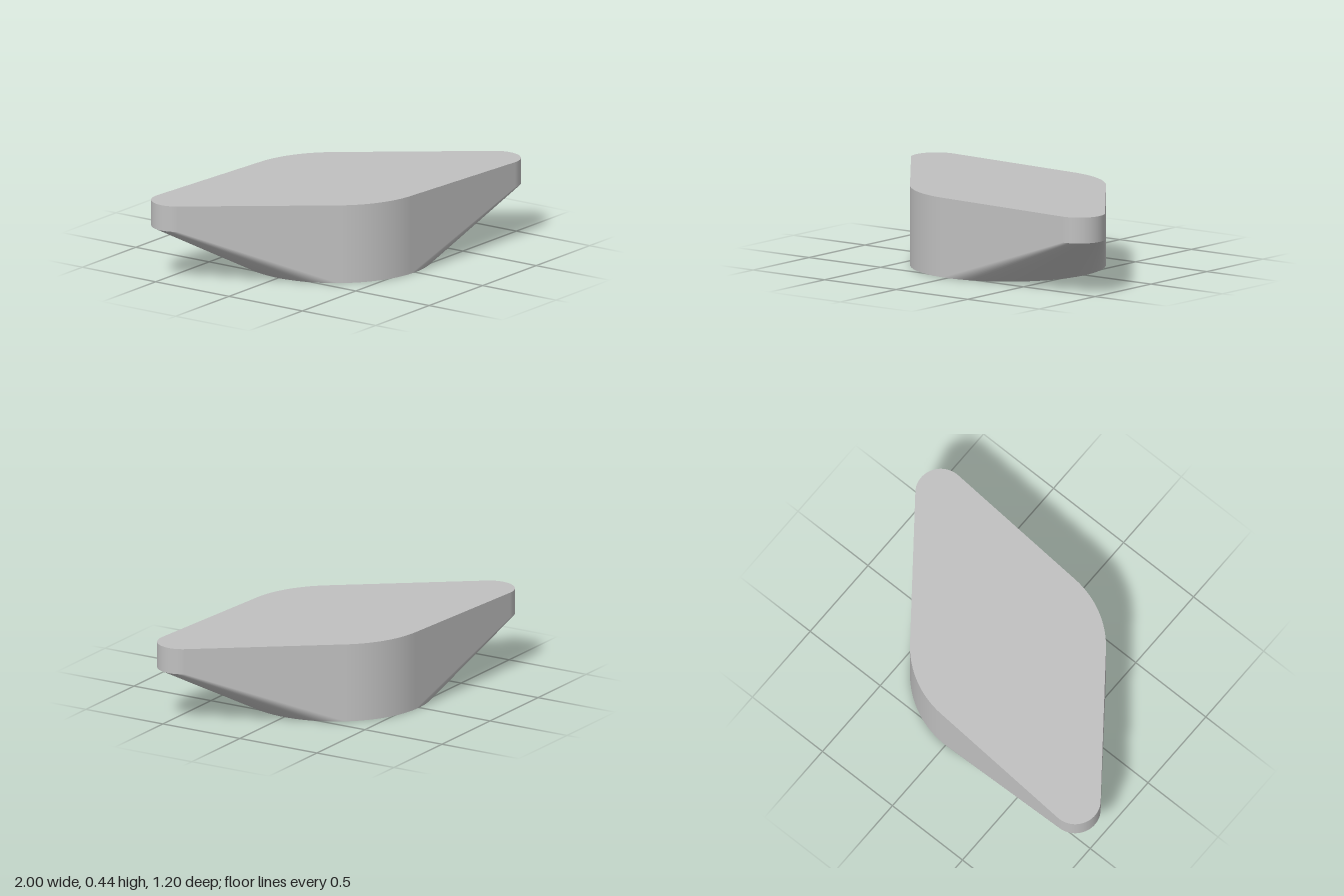
import * as THREE from 'three';

// Round hub tapering into two raised, rounded tips
const HUB_R = 0.54, TIP_R = 0.14, HEIGHT = 0.445, TIP_Y = 0.3;
const TIP_X = 0.86, TIP_Z = 0.46, STEPS = 40;

// Columns running round the outline: wall top, wall foot and base-circle point
function outlineColumns() {
  const heading = Math.atan2(TIP_Z, TIP_X);
  const spread = Math.acos((HUB_R - TIP_R) / Math.hypot(TIP_X, TIP_Z));
  const columns = [];
  const arc = (from, to, side) => {
    for (let i = 0; i <= STEPS; i++) {
      // finer steps near the tangent points
      const a = from + (to - from) * (1 - Math.cos(Math.PI * i / STEPS)) / 2;
      const n = new THREE.Vector3(Math.cos(a), 0, Math.sin(a));
      const t = new THREE.Vector3(-Math.sin(a), 0, Math.cos(a));
      const base = n.clone().multiplyScalar(HUB_R);
      const foot = side
        ? new THREE.Vector3(side * TIP_X, TIP_Y, side * TIP_Z).addScaledVector(n, TIP_R)
        : base.clone();
      const top = foot.clone().setY(HEIGHT);
      const slope = side ? foot.clone().sub(base).cross(t).normalize() : n;
      columns.push({ n, base, foot, top, slope, tip: side !== 0 });
    }
  };
  for (const side of [1, -1]) {
    const h = heading + (side < 0 ? Math.PI : 0);
    arc(h - spread, h + spread, side);
    arc(h + spread, h + Math.PI - spread, 0);
  }
  return columns;
}

// Collects triangles from [point, normal] corners
function surface(name, material, build) {
  const pos = [], nor = [];
  const tri = (...corners) => corners.forEach(([p, n]) => {
    pos.push(p.x, p.y, p.z);
    nor.push(n.x, n.y, n.z);
  });
  build(tri);
  const geometry = new THREE.BufferGeometry();
  geometry.setAttribute('position', new THREE.Float32BufferAttribute(pos, 3));
  geometry.setAttribute('normal', new THREE.Float32BufferAttribute(nor, 3));
  const mesh = new THREE.Mesh(geometry, material);
  mesh.name = name;
  return mesh;
}

export function createModel() {
  const group = new THREE.Group();
  group.name = 'taperedBlock';
  const grey = new THREE.MeshStandardMaterial({ color: 0xc0c0c0 });
  grey.name = 'grey';

  const columns = outlineColumns();
  const pairs = columns.map((c, i) => [c, columns[(i + 1) % columns.length]]);
  const up = new THREE.Vector3(0, 1, 0), down = new THREE.Vector3(0, -1, 0);
  const topCentre = new THREE.Vector3(0, HEIGHT, 0), baseCentre = new THREE.Vector3();

  group.add(
    surface('sideWall', grey, (tri) => pairs.forEach(([a, b]) => {
      tri([a.top, a.n], [b.top, b.n], [a.foot, a.n]);
      tri([b.top, b.n], [b.foot, b.n], [a.foot, a.n]);
    })),
    // sloping undersides from the tips down to the base circle
    surface('tipUndersides', grey, (tri) => pairs.forEach(([a, b]) => {
      if (!a.tip || !b.tip) return;
      tri([a.foot, a.slope], [b.foot, b.slope], [a.base, a.slope]);
      tri([b.foot, b.slope], [b.base, b.slope], [a.base, a.slope]);
    })),
    surface('topFace', grey, (tri) => pairs.forEach(([a, b]) =>
      tri([topCentre, up], [b.top, up], [a.top, up]))),
    surface('baseFace', grey, (tri) => pairs.forEach(([a, b]) =>
      tri([baseCentre, down], [a.base, down], [b.base, down]))),
  );
  return group;
}
